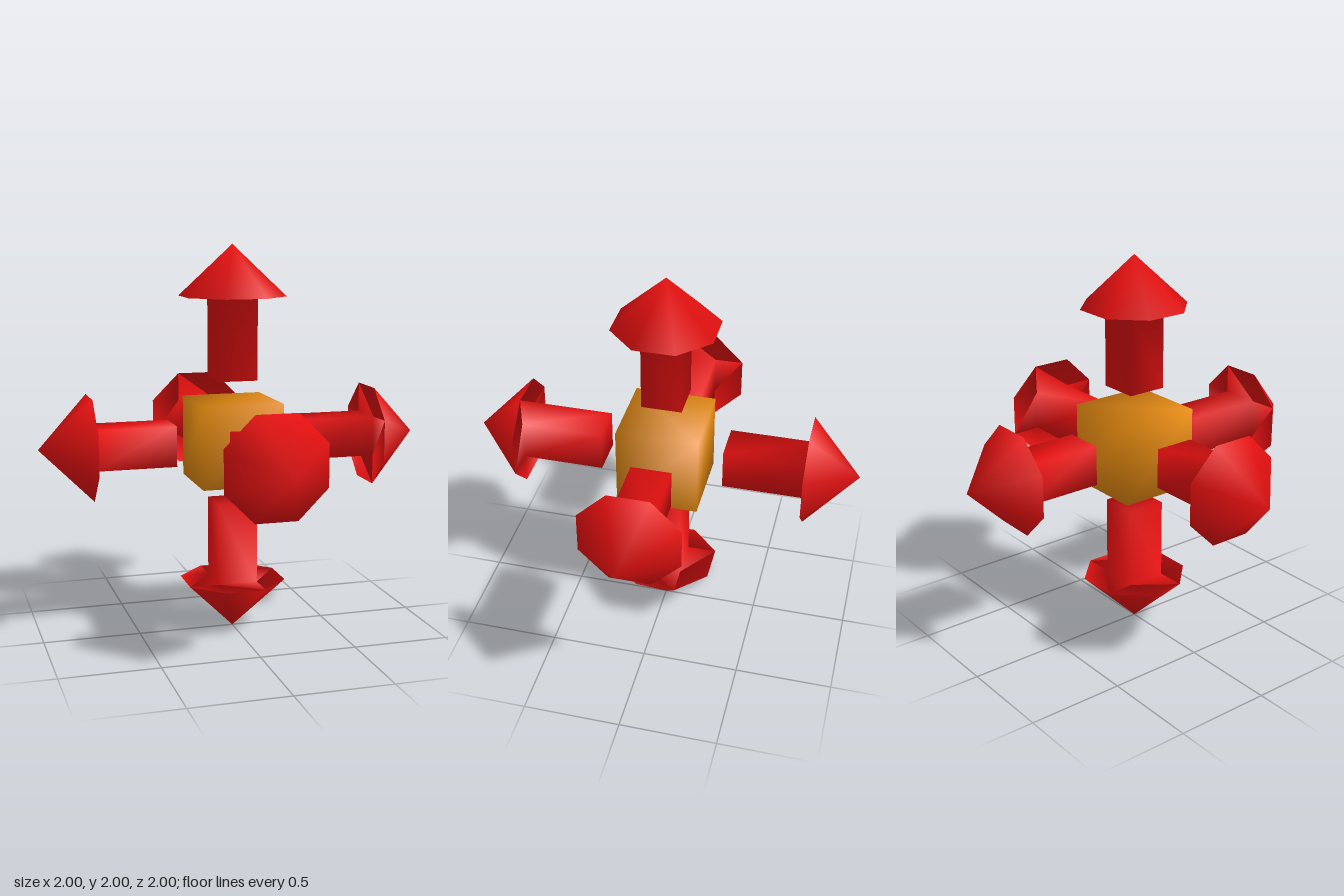
import * as THREE from 'three';
import { mergeVertices } from 'three/addons/utils/BufferGeometryUtils.js';

// Arrow along +y: square shaft flaring into an eight-sided pointed head, smooth normals
function arrowGeometry() {
  const pos = [], idx = [];
  const ring = (sides, radius, y) => {
    for (let i = 0; i < sides; i++) {
      const a = ((i + 0.5) / sides) * Math.PI * 2;
      pos.push(Math.cos(a) * radius, y, Math.sin(a) * radius);
    }
  };
  const quad = (a, b, c, d) => idx.push(a, b, c, a, c, d);

  ring(4, 0.146, 0.318);  // 0-3: inner end of shaft
  ring(4, 0.146, 0.74);   // 4-7: shaft meets head
  ring(8, 0.276, 0.74);   // 8-15: rim of head
  pos.push(0, 1, 0);      // 16: tip

  quad(0, 1, 2, 3);
  for (let k = 0; k < 4; k++) {
    const n = (k + 1) % 4, o = 8 + 2 * k;
    quad(k, 4 + k, 4 + n, n);                 // shaft side
    idx.push(4 + k, o, o + 1);                // underside corner
    quad(4 + k, o + 1, 8 + 2 * n, 4 + n);     // underside edge
  }
  for (let j = 0; j < 8; j++) idx.push(8 + j, 16, 8 + ((j + 1) % 8));

  const g = new THREE.BufferGeometry();
  g.setAttribute('position', new THREE.Float32BufferAttribute(pos, 3));
  g.setIndex(idx);
  g.computeVertexNormals();
  return g;
}

// Cube with corner normals shared by the three faces
function softCubeGeometry(size) {
  let g = new THREE.BoxGeometry(size, size, size);
  g.deleteAttribute('normal');
  g.deleteAttribute('uv');
  g = mergeVertices(g);
  g.computeVertexNormals();
  return g;
}

export function createModel() {
  const model = new THREE.Group();
  model.name = 'sixWayArrows';
  const red = new THREE.MeshStandardMaterial({ color: 0xe51010 });
  const orange = new THREE.MeshStandardMaterial({ color: 0xe58a10 });

  const cube = new THREE.Mesh(softCubeGeometry(0.42), orange);
  cube.name = 'centreCube';
  cube.position.y = 1;
  model.add(cube);

  const directions = {
    upArrow: [0, 1, 0], downArrow: [0, -1, 0],
    leftArrow: [1, 0, 0], rightArrow: [-1, 0, 0],
    frontArrow: [0, 0, 1], backArrow: [0, 0, -1],
  };
  const geometry = arrowGeometry();
  const up = new THREE.Vector3(0, 1, 0);
  for (const [name, dir] of Object.entries(directions)) {
    const arrow = new THREE.Mesh(geometry, red);
    arrow.name = name;
    arrow.position.y = 1;
    arrow.quaternion.setFromUnitVectors(up, new THREE.Vector3(...dir));
    model.add(arrow);
  }
  return model;
}
